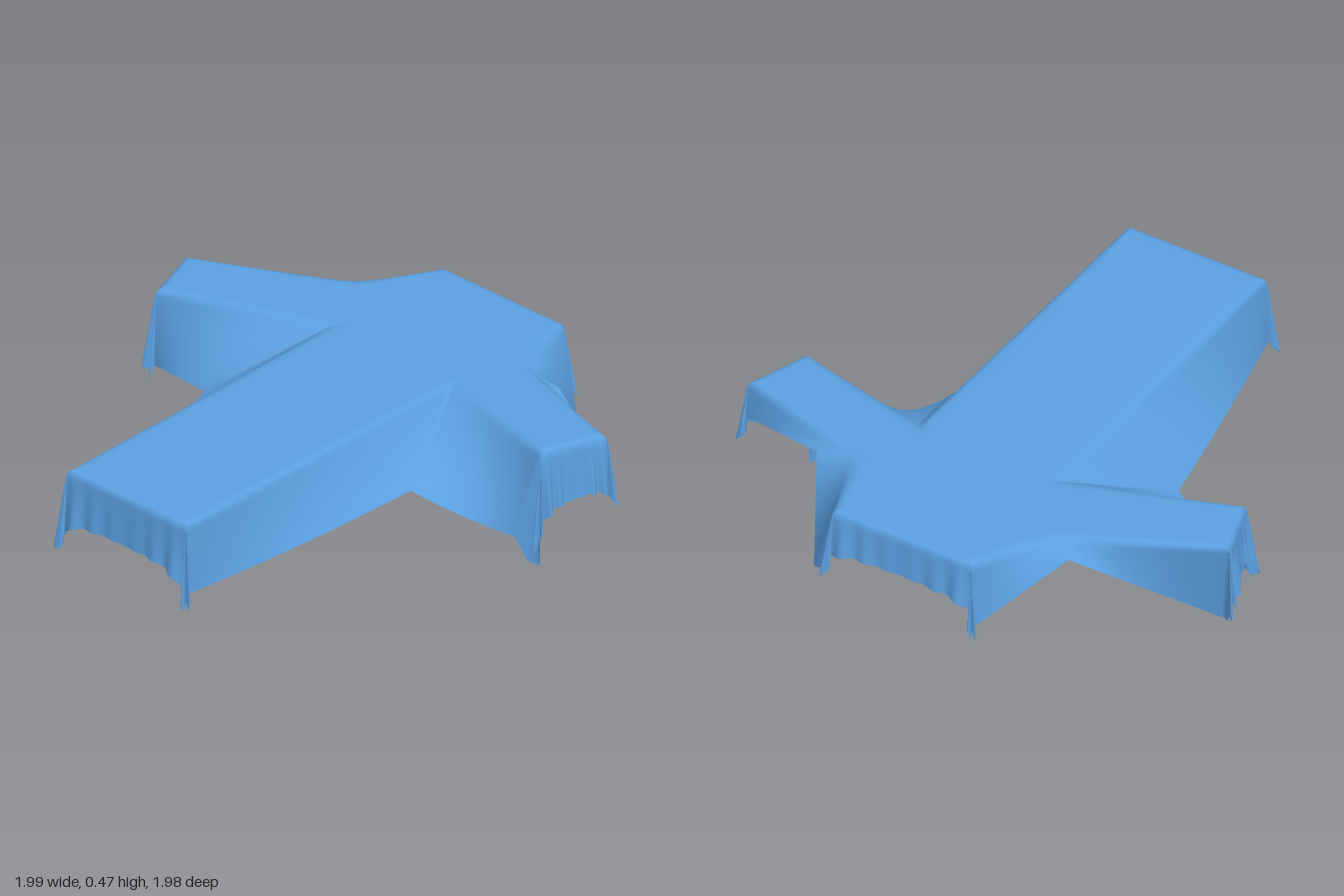
import * as THREE from 'three';
import { mergeVertices } from 'three/addons/utils/BufferGeometryUtils.js';

const TOP = 0.468;   // height of the flat top
const ROUND = 0.03;  // softness of the shoulder
const V = (x, y, z) => new THREE.Vector3(x, y, z);

// Gathered folds fanning round a corner, between two outward angles (degrees).
function folds(x, z, a0, a1, y0, tip, y1) {
  const out = [], n = 32;
  for (let i = 0; i <= n; i++) {
    const s = i / n;
    const a = THREE.MathUtils.degToRad(a0 + (a1 - a0) * s);
    const wave = Math.cos(s * 4 * Math.PI);
    const r = 0.014 + 0.018 * (1 - wave) * (0.7 + 0.3 * Math.sin(5 * s));
    const dip = Math.sin(Math.PI * s);
    const y = y0 + (y1 - y0) * s + (tip - (y0 + y1) / 2) * dip + 0.02 * wave * dip;
    out.push(V(x + r * Math.cos(a), y, z + r * Math.sin(a)));
  }
  return out;
}

// One corner of the top: position, hem points below it, then the arch and
// the ripple of the hem along the edge that follows.
const corner = (x, z, hem, arch = 0, ripple = 0) => ({ t: V(x, TOP, z), hem, arch, ripple });

function clothCorners() {
  return [
    // foot end, front
    corner(-0.95, 0.31, folds(-0.95, 0.31, 180, 90, 0.22, 0.15, 0.2), -0.012),
    // hollow between body and front arm
    corner(0.4, 0.31, [V(0.01, 0.26, 0.47)], -0.01),
    // front arm end
    corner(0.25, 0.86, [V(0.2, 0.12, 0.78), V(0.235, 0.02, 0.81), V(0.265, 0, 0.84),
      ...folds(0.25, 0.86, 195, 108, 0.08, 0.12, 0.2)], 0.04, 0.016),
    corner(0.49, 0.945, folds(0.49, 0.945, 108, 18, 0.23, 0.22, 0.32)),
    // stretched web on the head side of the front arm
    corner(0.64, 0.4, [V(0.66, 0.43, 0.56)]),
    // head end
    corner(0.95, 0.31, [V(0.9, 0.15, 0.42), V(0.925, 0.17, 0.39),
      ...folds(0.95, 0.31, 80, 0, 0.22, 0.2, 0.28)], 0.03, 0.012),
    corner(0.95, -0.25, folds(0.95, -0.25, 0, -90, 0.28, 0.17, 0.2)),
    // stretched web on the head side of the back arm
    corner(0.67, -0.4, [V(0.7, 0.42, -0.49)]),
    // back arm end
    corner(0.4, -0.955, [V(0.34, 0.1, -0.9), V(0.37, 0.12, -0.93),
      ...folds(0.4, -0.955, -21, -111, 0.18, 0.22, 0.25)], 0.02, 0.014),
    corner(0.16, -0.87, folds(0.16, -0.87, -111, -200, 0.24, 0.14, 0.17)),
    // hollow between body and back arm
    corner(0.4, -0.25, [V(0.01, 0.27, -0.5)], -0.012),
    // foot end, back
    corner(-0.95, -0.25, folds(-0.95, -0.25, -90, -180, 0.2, 0.15, 0.22), 0.06, 0.012),
  ];
}

const edgeNormal = (a, b) => V(a.z - b.z, 0, b.x - a.x).normalize();

// Stations round the cloth: inner (flat top), edge and hem points.
function buildStations(corners) {
  const n = corners.length;
  corners.forEach((c, i) => {
    const n1 = edgeNormal(corners[(i + n - 1) % n].t, c.t);
    const n2 = edgeNormal(c.t, corners[(i + 1) % n].t);
    const k = ROUND / Math.max(0.4, 1 + n1.dot(n2));
    c.inner = c.t.clone().addScaledVector(n1.add(n2), -k);
  });
  const stations = [];
  corners.forEach((c, i) => {
    const next = corners[(i + 1) % n];
    c.hem.forEach((hem, j) => stations.push({ inner: c.inner, edge: c.t, hem, first: j === 0 }));
    const from = c.hem[c.hem.length - 1], to = next.hem[0], steps = 48;
    const outward = edgeNormal(c.t, next.t);
    for (let j = 1; j < steps; j++) {
      const s = j / steps, side = Math.abs(2 * s - 1);
      const hem = from.clone().lerp(to, s);
      hem.y += c.arch * (1 - (c.ripple ? side ** 5 : side ** 2));
      hem.addScaledVector(outward, c.ripple * side * (1 - Math.cos(s * 12 * Math.PI)));
      stations.push({
        inner: c.inner.clone().lerp(next.inner, s),
        edge: c.t.clone().lerp(next.t, s), hem, first: true,
      });
    }
  });
  return stations;
}

function clothGeometry() {
  const stations = buildStations(clothCorners());
  const bend = 5, drop = 12, rows = bend + drop + 1;
  const pos = [], index = [];

  // each station is a rounded shoulder followed by the hanging skirt
  for (const { inner, edge, hem } of stations) {
    const start = edge.clone().lerp(hem, Math.min(0.5, ROUND / edge.distanceTo(hem)));
    const curve = new THREE.QuadraticBezierCurve3(inner, edge, start);
    for (let r = 0; r <= bend; r++) pos.push(...curve.getPoint(r / bend).toArray());
    for (let r = 1; r <= drop; r++) pos.push(...start.clone().lerp(hem, r / drop).toArray());
  }
  const n = stations.length;
  for (let j = 0; j < n; j++) {
    const a = j * rows, b = ((j + 1) % n) * rows;
    for (let r = 0; r < rows - 1; r++) {
      index.push(a + r, a + r + 1, b + r + 1, a + r, b + r + 1, b + r);
    }
  }

  // flat top filling the innermost ring
  const ring = stations.map((s, j) => ({ s, j })).filter(({ s }) => s.first);
  const outline = ring.map(({ s }) => new THREE.Vector2(s.inner.x, -s.inner.z));
  for (const tri of THREE.ShapeUtils.triangulateShape(outline, [])) {
    index.push(...tri.map((k) => ring[k].j * rows));
  }

  const geometry = new THREE.BufferGeometry();
  geometry.setAttribute('position', new THREE.Float32BufferAttribute(pos, 3));
  geometry.setIndex(index);
  const merged = mergeVertices(geometry, 1e-5);
  merged.computeVertexNormals();
  return merged;
}

export function createModel() {
  const group = new THREE.Group();
  group.name = 'drapedCloth';
  const material = new THREE.MeshStandardMaterial({ color: 0x5a9fe0, side: THREE.DoubleSide });
  const cloth = new THREE.Mesh(clothGeometry(), material);
  cloth.name = 'cloth';
  group.add(cloth);
  return group;
}
